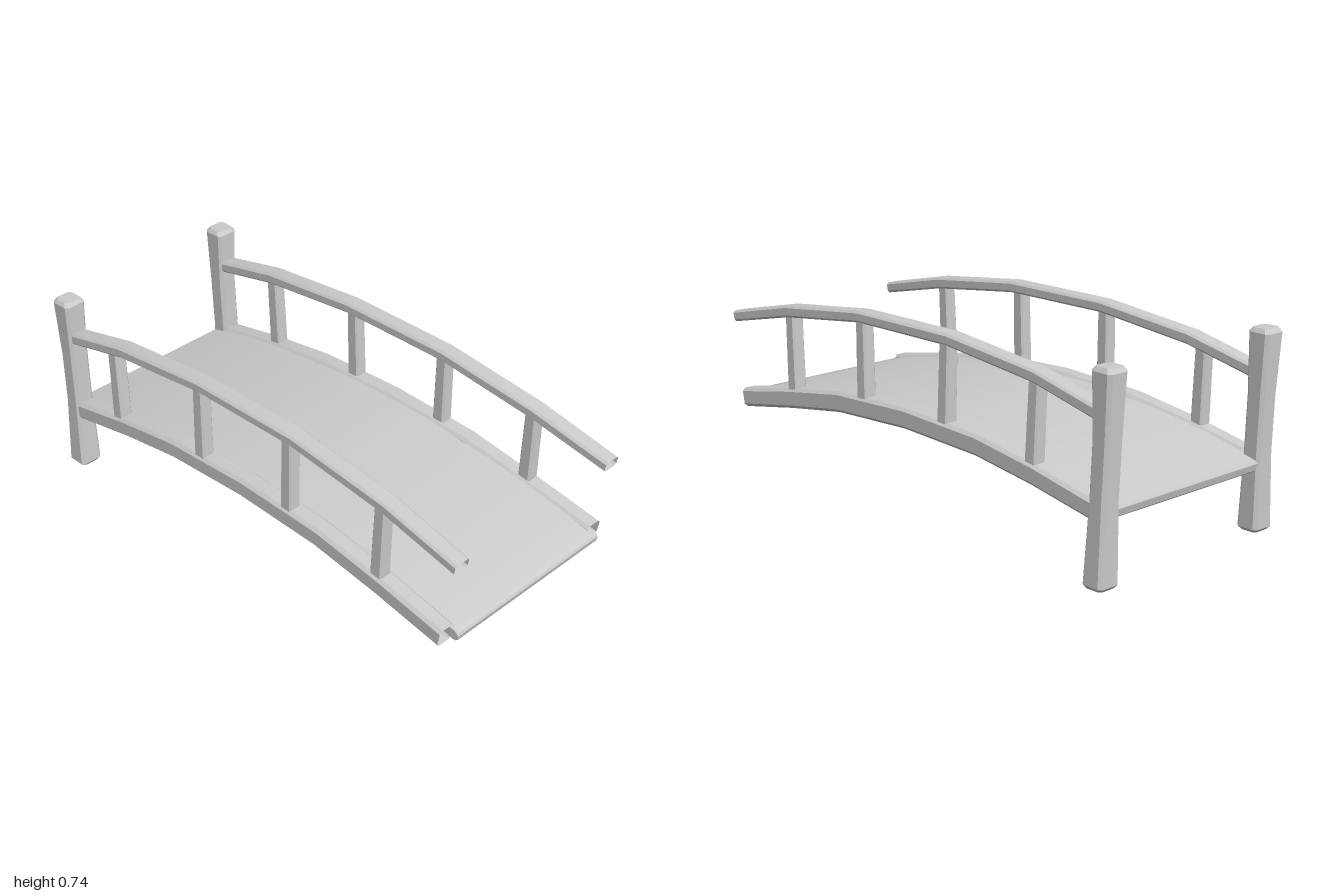
import * as THREE from 'three';
import { toCreasedNormals } from 'three/addons/utils/BufferGeometryUtils.js';

const material = new THREE.MeshStandardMaterial({ color: 0xcccccc, side: THREE.DoubleSide });

// Chamfered rectangular timber lofted through stations [x, y, z, width, height]
function timber(name, stations, { chamfer = 0.008, capped = false } = {}) {
  const centres = stations.map(([x, y, z]) => new THREE.Vector3(x, y, z));
  const positions = [], index = [], last = stations.length - 1;
  stations.forEach(([, , , w, h], i) => {
    const tangent = centres[Math.min(i + 1, last)].clone().sub(centres[Math.max(i - 1, 0)]);
    tangent.x = 0;
    const up = tangent.normalize().cross(new THREE.Vector3(1, 0, 0));
    const a = w / 2, b = h / 2, c = Math.min(chamfer, a * 0.6, b * 0.6);
    const ring = [[a, c - b], [a, b - c], [a - c, b], [c - a, b],
      [-a, b - c], [-a, c - b], [c - a, -b], [a - c, -b]];
    for (const [s, t] of ring) {
      const p = centres[i].clone().addScaledVector(up, t);
      positions.push(p.x + s, p.y, p.z);
    }
  });
  for (let i = 0; i < last; i++) {
    for (let j = 0; j < 8; j++) {
      const k = (j + 1) % 8, p = i * 8, q = p + 8;
      index.push(p + j, p + k, q + k, p + j, q + k, q + j);
    }
  }
  if (capped) {
    const e = last * 8;
    for (let j = 1; j < 7; j++) index.push(0, j + 1, j, e, e + j, e + j + 1);
  }
  const geometry = new THREE.BufferGeometry();
  geometry.setAttribute('position', new THREE.Float32BufferAttribute(positions, 3));
  geometry.setIndex(index);
  const mesh = new THREE.Mesh(toCreasedNormals(geometry, 0.5), material);
  mesh.name = name;
  return mesh;
}

// Arched walkway with rounded front and back lips
function createDeck() {
  const stations = [], n = 20, end = 0.96;
  const centreY = z => 0.378 - 0.122 * (z / end) ** 2;
  const add = (z, h) => stations.push([0.005, centreY(z), z, 0.74, h]);
  add(-0.968, 0.026);
  for (let i = 0; i <= n; i++) add(-end + (2 * end * i) / n, 0.045);
  add(0.972, 0.036);
  add(0.978, 0.02);
  return timber('deck', stations, { chamfer: 0.004, capped: true });
}

// One side of the bridge: post, curb beam, handrail and balusters
function createSide(side) {
  const group = new THREE.Group();
  const isLeft = side > 0;
  group.name = isLeft ? 'leftSide' : 'rightSide';
  const base = isLeft ? 0.003 : 0.014;

  // Waisted post, leaning slightly backward
  const post = [
    [0.388, base, -0.935, 0.074, 0.07],
    [0.388, base + 0.012, -0.935, 0.093, 0.088],
    [0.384, 0.3, -0.942, 0.08, 0.074],
    [0.382, 0.5, -0.95, 0.08, 0.074],
    [0.384, 0.725, -0.956, 0.09, 0.088],
    [0.384, 0.74, -0.956, 0.07, 0.068],
  ];

  // Curb beam, open at its ends
  const beam = [
    [0.387, 0.26, 0.945, 0.07, 0.073],
    [0.381, 0.312, 0.66, 0.074, 0.076],
    [0.379, 0.357, 0.37, 0.076, 0.078],
    [0.379, 0.373, 0, 0.076, 0.077],
    [0.379, 0.357, -0.37, 0.076, 0.076],
    [0.381, 0.318, -0.64, 0.074, 0.074],
    [0.384, 0.262, -0.93, 0.07, 0.07],
  ];

  // Handrail, open at its ends
  const rail = [
    [0.386, 0.575, 0.994, 0.066, 0.042],
    [0.378, 0.645, 0.67, 0.07, 0.044],
    [0.376, 0.695, 0.25, 0.07, 0.042],
    [0.376, 0.695, -0.22, 0.07, 0.042],
    [0.378, 0.65, -0.64, 0.07, 0.044],
    [0.382, 0.582, -0.935, 0.066, 0.044],
  ];

  const place = rows => rows.map(([x, ...rest]) => [side * x, ...rest]);
  group.add(
    timber('post', place(post), { chamfer: 0.012, capped: true }),
    timber('curbBeam', place(beam), { chamfer: 0.012 }),
    timber('handrail', place(rail)),
  );

  // Balusters: [z at foot, z at top, foot y, top y]
  const balusters = isLeft
    ? [[0.647, 0.66, 0.33, 0.645], [0.235, 0.243, 0.38, 0.695],
      [-0.198, -0.206, 0.38, 0.695], [-0.628, -0.64, 0.33, 0.645]]
    : [[0.645, 0.655, 0.33, 0.645], [0.218, 0.222, 0.38, 0.695],
      [-0.222, -0.226, 0.38, 0.695], [-0.68, -0.695, 0.32, 0.638]];
  for (const [z0, z1, y0, y1] of balusters) {
    group.add(timber('baluster', place([
      [0.384, y0, z0, 0.052, 0.052],
      [0.38, y1, z1, 0.05, 0.048],
    ]), { chamfer: 0.006 }));
  }
  return group;
}

export function createModel() {
  const model = new THREE.Group();
  model.name = 'footbridge';
  model.add(createDeck(), createSide(1), createSide(-1));
  return model;
}
